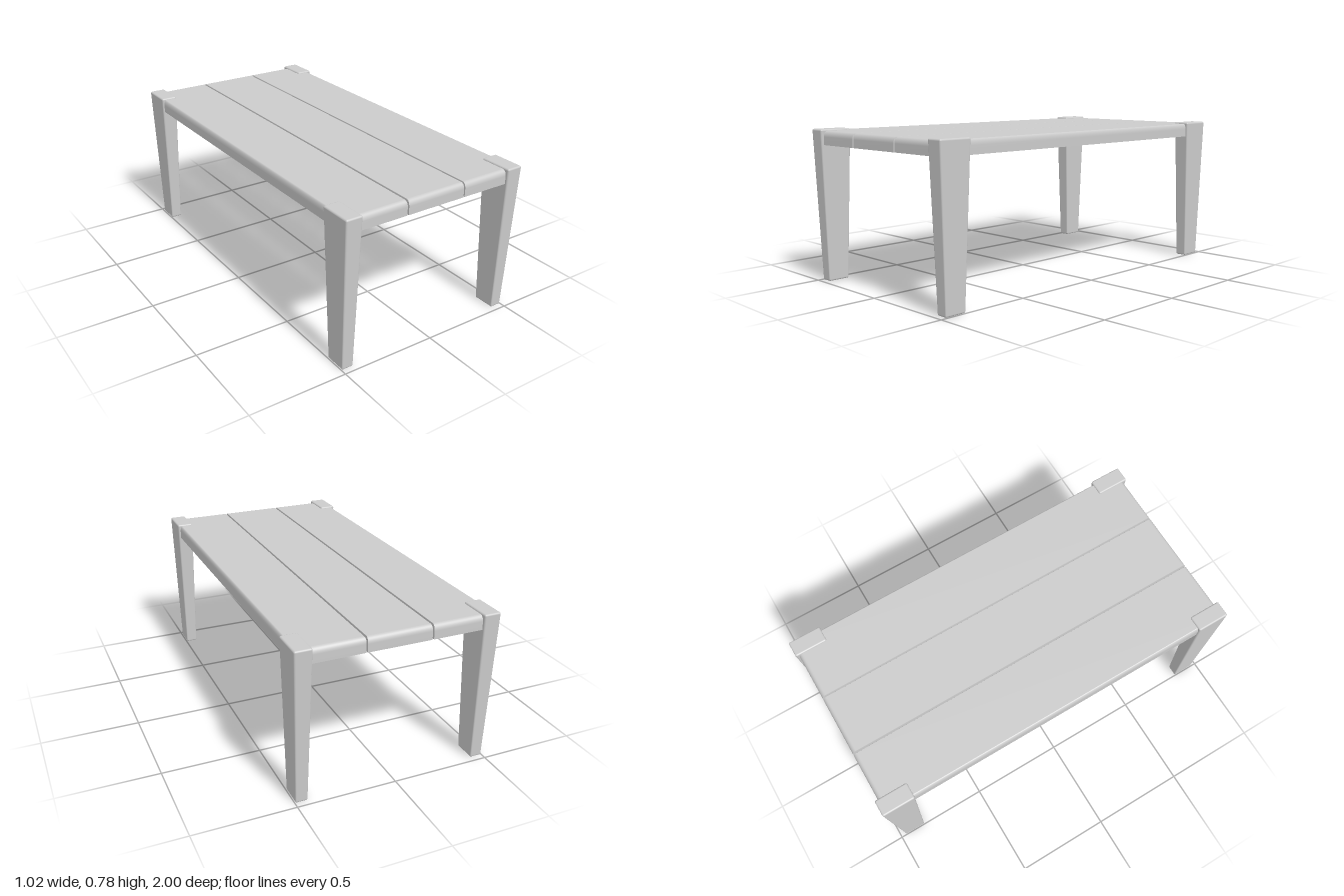
import * as THREE from 'three';
import { RoundedBoxGeometry } from 'three/addons/geometries/RoundedBoxGeometry.js';

const LEG = { height: 0.783, topX: 0.087, topZ: 0.174, bottomX: 0.06, bottomZ: 0.114, x: 0.4665, z: 0.913 };
const PLANK = { bottom: 0.704, top: 0.775, halfLength: 0.984, roundHeight: 0.03, roundInset: 0.022 };

// Rounded post, narrowing evenly to the foot
function legGeometry() {
  const { height: h, topX, topZ, bottomX, bottomZ } = LEG;
  const geo = new RoundedBoxGeometry(topX, h, topZ, 3, 0.009);
  const p = geo.attributes.position, nor = geo.attributes.normal;
  const n = new THREE.Vector3();
  for (let i = 0; i < p.count; i++) {
    const t = p.getY(i) / h + 0.5;
    const sx = THREE.MathUtils.lerp(bottomX / topX, 1, t);
    const sz = THREE.MathUtils.lerp(bottomZ / topZ, 1, t);
    const leanX = (1 - bottomX / topX) / h * p.getX(i) / sx;
    const leanZ = (1 - bottomZ / topZ) / h * p.getZ(i) / sz;
    n.fromBufferAttribute(nor, i);
    n.set(n.x / sx, n.y - leanX * n.x - leanZ * n.z, n.z / sz).normalize();
    nor.setXYZ(i, n.x, n.y, n.z);
    p.setXYZ(i, p.getX(i) * sx, p.getY(i) + h / 2, p.getZ(i) * sz);
  }
  return geo;
}

// Board with a flat underside; the upper rows of its sides curve in to the top
function plankGeometry(left, right, insetLeft, insetRight) {
  const rows = 9;
  const geo = new THREE.BoxGeometry(1, 1, 1, 1, rows, 1);
  const p = geo.attributes.position;
  const { bottom, top, halfLength, roundHeight, roundInset } = PLANK;
  for (let i = 0; i < p.count; i++) {
    const row = Math.round((p.getY(i) + 0.5) * rows);
    const a = Math.max(0, row - 1) / (rows - 1) * Math.PI / 2;
    const inset = 1 - Math.cos(a);
    const y = row === 0 ? bottom : top - roundHeight * (1 - Math.sin(a));
    const x = p.getX(i) < 0 ? left + insetLeft * inset : right - insetRight * inset;
    p.setXYZ(i, x, y, Math.sign(p.getZ(i)) * (halfLength - roundInset * inset));
  }
  geo.computeVertexNormals();
  return geo;
}

export function createModel() {
  const model = new THREE.Group();
  model.name = 'plankTable';
  const material = new THREE.MeshStandardMaterial({ color: 0xcccccc });
  const add = (name, geometry) => {
    const mesh = new THREE.Mesh(geometry, material);
    mesh.name = name;
    model.add(mesh);
    return mesh;
  };

  // Three boards with narrow gaps; only the outer edges are strongly rounded
  const outer = 0.012, inner = 0.002;
  add('rightPlank', plankGeometry(-0.5, -0.17, outer, inner));
  add('middlePlank', plankGeometry(-0.162, 0.16, inner, inner));
  add('leftPlank', plankGeometry(0.167, 0.497, inner, outer));

  // Four corner legs, their tops standing just above the boards
  const leg = legGeometry();
  for (const sx of [-1, 1]) {
    for (const sz of [-1, 1]) {
      const name = (sz > 0 ? 'front' : 'back') + (sx > 0 ? 'Left' : 'Right') + 'Leg';
      add(name, leg).position.set(sx * LEG.x, 0, sz * LEG.z);
    }
  }
  return model;
}
